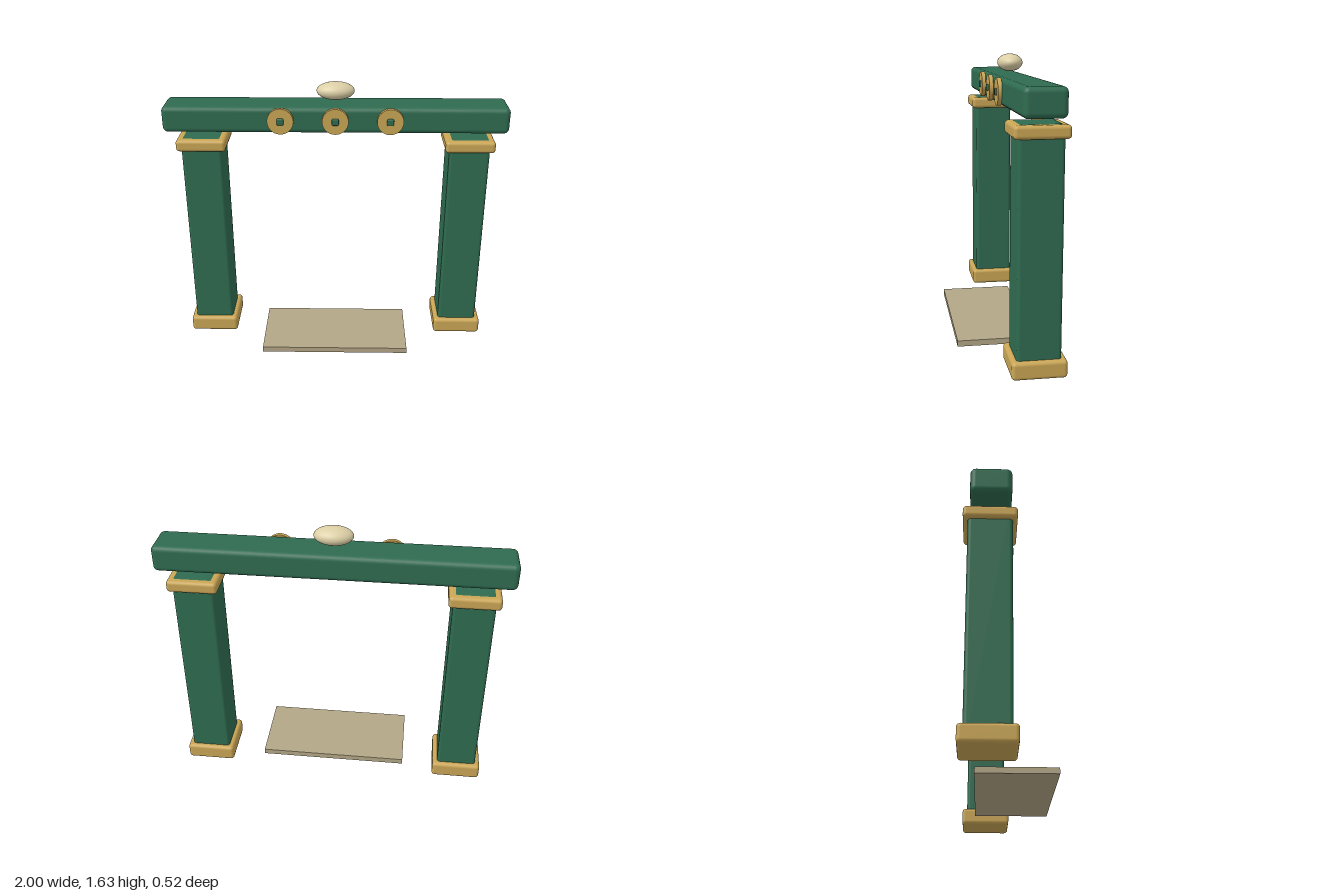
import * as THREE from 'three';
import { RoundedBoxGeometry } from 'three/addons/geometries/RoundedBoxGeometry.js';

const green = new THREE.MeshStandardMaterial({ color: 0x2f6b50 });
const gold = new THREE.MeshStandardMaterial({ color: 0xc9a555 });
const cream = new THREE.MeshStandardMaterial({ color: 0xdccfa6 });
const stone = new THREE.MeshStandardMaterial({ color: 0xb3a686 });

const AXIS_Z = -0.115; // depth of the gate's centre line

function add(parent, name, geometry, material, x, y, z) {
  const mesh = new THREE.Mesh(geometry, material);
  mesh.name = name;
  mesh.position.set(x, y, z);
  parent.add(mesh);
  return mesh;
}

const rounded = (w, h, d, r) => new RoundedBoxGeometry(w, h, d, 4, r);

// Square post with a gold base and capital
function createPillar(name, x) {
  const pillar = new THREE.Group();
  pillar.name = name;
  pillar.position.set(x, 0, AXIS_Z);
  add(pillar, 'post', rounded(0.236, 1.314, 0.238, 0.02), green, 0, 0.659, 0);
  add(pillar, 'base', rounded(0.292, 0.098, 0.294, 0.02), gold, 0, 0.049, 0);
  add(pillar, 'capital', rounded(0.288, 0.07, 0.29, 0.02), gold, 0, 1.279, 0);
  return pillar;
}

// Round gold disc with a small square boss
function createMedallion(x) {
  const medallion = new THREE.Group();
  medallion.name = 'medallion';
  medallion.position.set(x, 1.43, 0);
  const disc = new THREE.CylinderGeometry(0.076, 0.076, 0.024, 40).rotateX(Math.PI / 2);
  add(medallion, 'disc', disc, gold, 0, 0, 0.009);
  add(medallion, 'boss', rounded(0.04, 0.04, 0.03, 0.008), green, 0, 0, 0.016);
  return medallion;
}

export function createModel() {
  const gate = new THREE.Group();
  gate.name = 'gate';

  gate.add(createPillar('leftPillar', 0.782), createPillar('rightPillar', -0.782));

  // Lintel floating just above the capitals
  add(gate, 'lintel', rounded(2, 0.154, 0.222, 0.03), green, 0, 1.428, -0.112);
  for (const x of [-0.315, 0, 0.315]) gate.add(createMedallion(x));

  // Flattened pearl over the middle of the lintel
  const pearl = new THREE.SphereGeometry(1, 40, 24).scale(0.11, 0.051, 0.073);
  add(gate, 'pearl', pearl, cream, 0, 1.576, -0.11);

  // Threshold slab reaching out to the front
  add(gate, 'threshold', new THREE.BoxGeometry(0.894, 0.034, 0.44), stone, 0, 0.019, 0.04);

  return gate;
}
